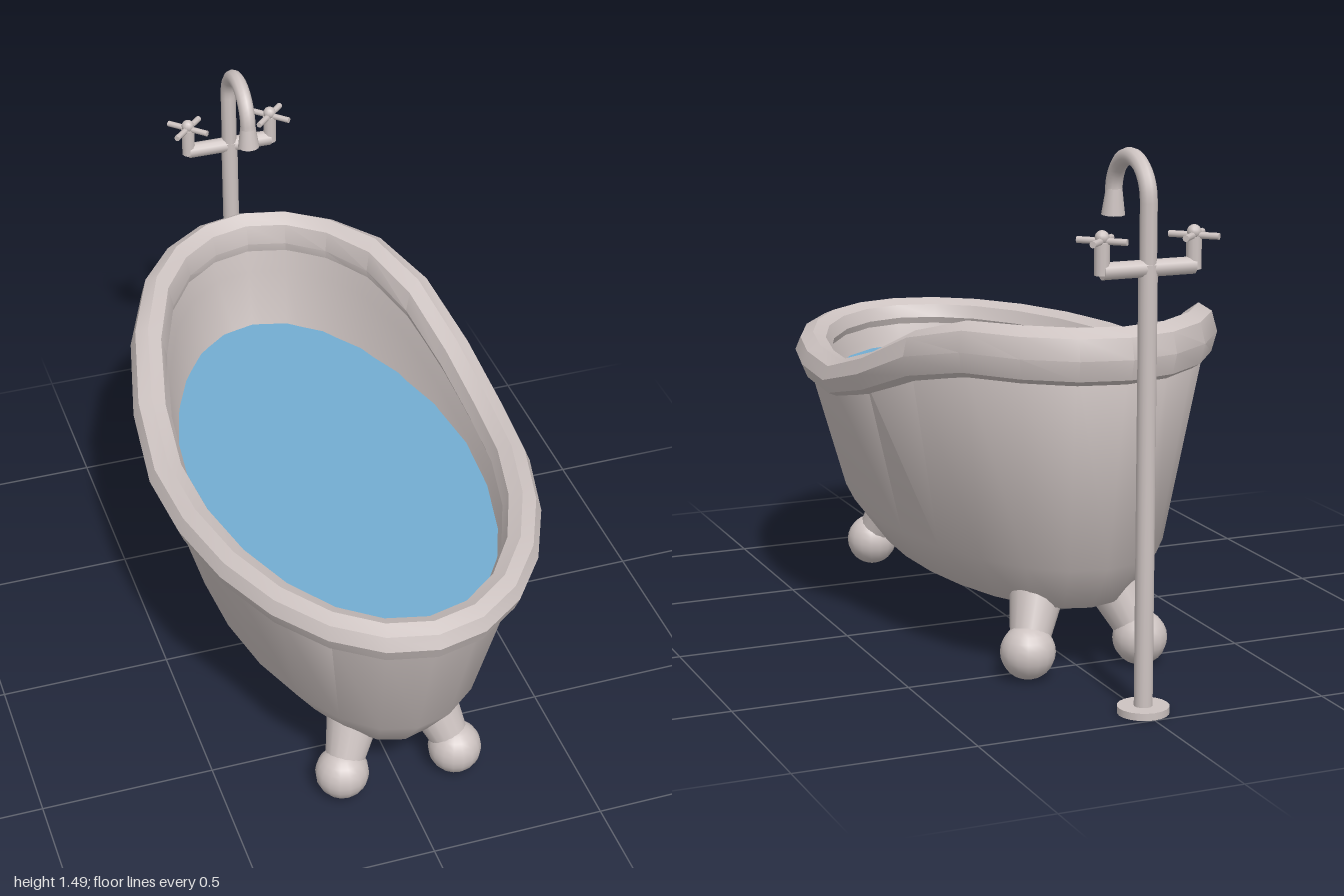
import * as THREE from 'three';
import { toCreasedNormals } from 'three/addons/utils/BufferGeometryUtils.js';

const SEGMENTS = 24, STRETCH = 0.385, CENTRE_Z = 0.07;
const enamel = new THREE.MeshStandardMaterial({ color: 0xcdc3c1 });
enamel.name = 'warm grey enamel';
const waterBlue = new THREE.MeshStandardMaterial({ color: 0x73add1 });
waterBlue.name = 'water blue';

function addMesh(parent, name, geometry, material, x = 0, y = 0, z = 0) {
  const mesh = new THREE.Mesh(geometry, material);
  mesh.name = name;
  mesh.position.set(x, y, z);
  parent.add(mesh);
  return mesh;
}

// Lathe a profile, stretch it lengthwise and raise the upper part towards the back.
function tubGeometry(profile, crease, raised = true) {
  const points = profile.map(([r, y]) => new THREE.Vector2(r, y));
  const geometry = new THREE.LatheGeometry(points, SEGMENTS);
  const pos = geometry.attributes.position;
  for (let i = 0; i < pos.count; i++) {
    const angle = Math.floor(i / points.length) / SEGMENTS * Math.PI * 2;
    const z = pos.getZ(i) + STRETCH * Math.cos(angle) + CENTRE_Z;
    const y = pos.getY(i);
    const rise = raised ? 0.46 * THREE.MathUtils.smoothstep(-z, -0.1, 0.6) : 0;
    pos.setY(i, y + Math.max(0, y - 0.33) * rise);
    pos.setZ(i, z);
  }
  return toCreasedNormals(geometry, crease);
}

// Cylinder between two points.
function rod(parent, name, from, to, rFrom, rTo, sides = 12) {
  const a = new THREE.Vector3(...from), b = new THREE.Vector3(...to);
  const dir = b.clone().sub(a);
  const mesh = addMesh(parent, name,
    new THREE.CylinderGeometry(rTo, rFrom, dir.length(), sides), enamel);
  mesh.position.copy(a).add(b).multiplyScalar(0.5);
  mesh.quaternion.setFromUnitVectors(new THREE.Vector3(0, 1, 0), dir.normalize());
  return mesh;
}

export function createModel() {
  const model = new THREE.Group();
  model.name = 'bathtub';

  // Hull: outer wall going up, inner wall going down
  addMesh(model, 'hull', tubGeometry([
    [0, 0.17], [0.16, 0.17], [0.23, 0.178], [0.29, 0.197], [0.39, 0.33], [0.505, 0.72],
    [0.485, 0.745], [0.445, 0.745], [0.425, 0.68], [0.35, 0.36], [0.25, 0.24], [0, 0.22],
  ], 0.9), enamel);

  // Rolled rim with an octagonal section
  const rim = [];
  for (let i = 0; i <= 8; i++) {
    const a = i * Math.PI / 4;
    rim.push([0.485 + 0.055 * Math.cos(a), 0.745 + 0.055 * Math.sin(a)]);
  }
  addMesh(model, 'rim', tubGeometry(rim, 0.6), enamel);

  // Water surface
  addMesh(model, 'water', tubGeometry([[0.425, 0.66], [0, 0.66]], 0.6, false), waterBlue);

  // Four splayed ball feet
  for (const sx of [-1, 1]) for (const sz of [-1, 1]) {
    const foot = new THREE.Group();
    foot.name = (sz > 0 ? 'front' : 'back') + (sx > 0 ? 'Left' : 'Right') + 'Foot';
    model.add(foot);
    const ball = [sx * 0.17, 0.077, CENTRE_Z + sz * 0.625];
    addMesh(foot, 'ball', new THREE.SphereGeometry(0.077, 16, 12), enamel, ...ball);
    rod(foot, 'leg', ball, [sx * 0.12, 0.21, CENTRE_Z + sz * 0.565], 0.05, 0.074, 16);
  }

  // Floor-standing tap
  const tap = new THREE.Group();
  tap.name = 'tap';
  tap.position.z = -0.93;
  model.add(tap);
  addMesh(tap, 'basePlate', new THREE.CylinderGeometry(0.07, 0.07, 0.02, 20), enamel, 0, 0.01, 0);
  rod(tap, 'standpipe', [0, 0.01, 0], [0, 1.2, 0], 0.025, 0.025, 16);

  // Gooseneck: straight rise, then a half circle forward
  const path = new THREE.CurvePath();
  path.add(new THREE.LineCurve3(new THREE.Vector3(0, 1.18, 0), new THREE.Vector3(0, 1.36, 0)));
  const arc = [];
  for (let i = 0; i <= 12; i++) {
    const a = Math.PI * i / 12;
    arc.push(new THREE.Vector3(0, 1.36 + 0.105 * Math.sin(a), 0.105 * (1 - Math.cos(a))));
  }
  path.add(new THREE.CatmullRomCurve3(arc));
  addMesh(tap, 'gooseneck', new THREE.TubeGeometry(path, 40, 0.023, 10), enamel);
  rod(tap, 'spout', [0, 1.37, 0.207], [0, 1.3, 0.212], 0.022, 0.032, 14);

  // Crossbar and two cross-shaped handles
  rod(tap, 'crossbar', [-0.13, 1.19, 0], [0.13, 1.19, 0], 0.023, 0.023);
  for (const sx of [-1, 1]) {
    const handle = new THREE.Group();
    handle.name = sx > 0 ? 'leftHandle' : 'rightHandle';
    handle.position.set(sx * 0.13, 0, 0);
    tap.add(handle);
    rod(handle, 'stem', [0, 1.18, 0], [0, 1.265, 0], 0.02, 0.02);
    addMesh(handle, 'knob', new THREE.SphereGeometry(0.019, 12, 8), enamel, 0, 1.277, 0);
    for (const s of [-1, 1]) {
      rod(handle, 'crossArm', [-0.048, 1.268, -0.048 * s], [0.048, 1.268, 0.048 * s], 0.009, 0.009, 8);
    }
  }
  return model;
}
